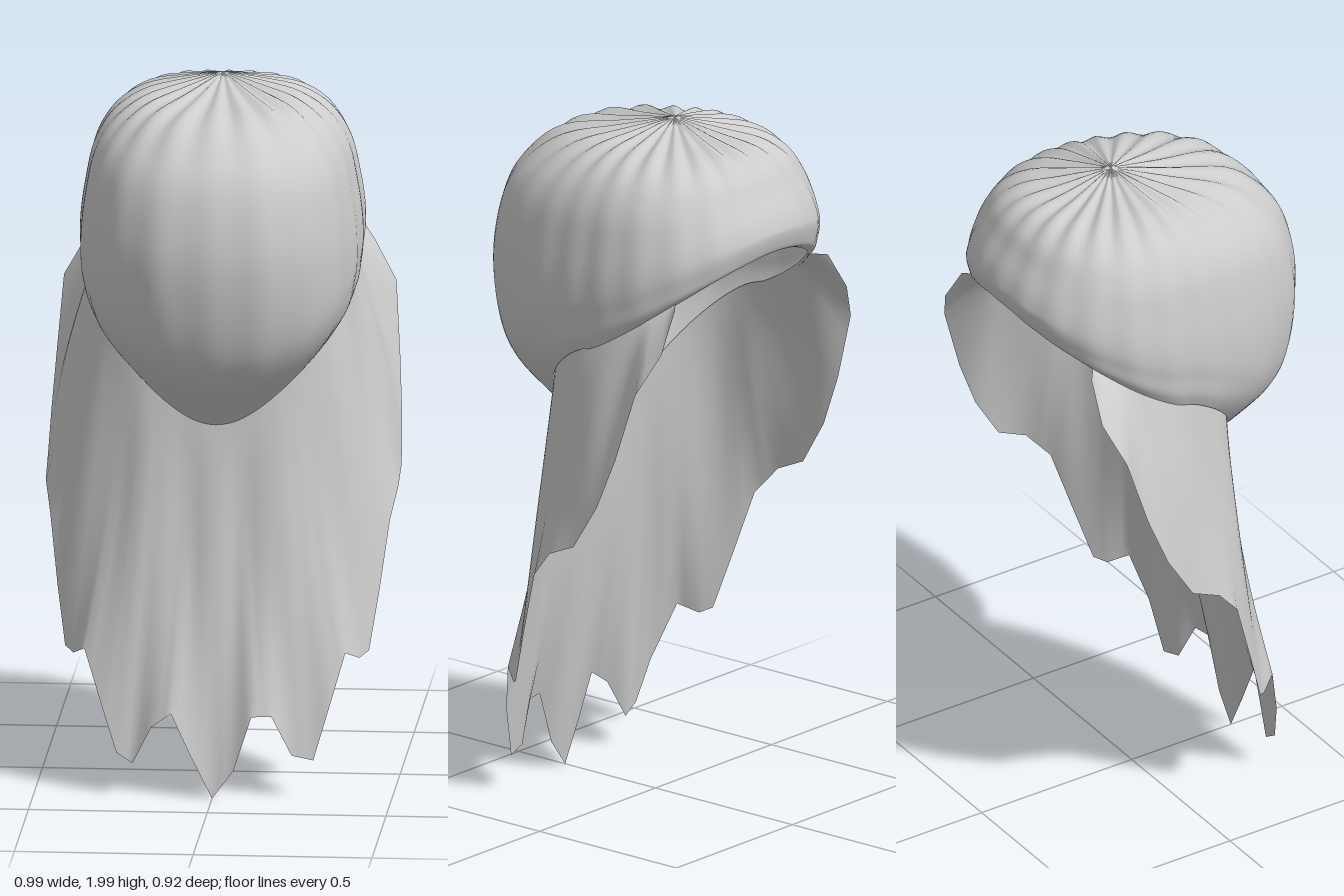
import * as THREE from 'three';

const CZ = -0.07; // z of the crown, centre of all cap meridians
const curve = (pts) => new THREE.SplineCurve(pts.map(([r, y]) => new THREE.Vector2(r, y)));

// Cap meridians as (radius, height) from crown to rim
const frontLine = curve([[0, 2], [0.17, 1.965], [0.34, 1.93], [0.44, 1.85], [0.5, 1.75], [0.53, 1.6],
  [0.52, 1.45], [0.48, 1.3], [0.42, 1.2], [0.33, 1.11], [0.27, 1.05]]);
const sideLine = curve([[0, 2], [0.12, 1.98], [0.22, 1.955], [0.3, 1.9], [0.355, 1.81], [0.38, 1.7],
  [0.392, 1.62], [0.395, 1.55], [0.39, 1.5], [0.385, 1.45], [0.37, 1.41]]);
const backLine = curve([[0, 2], [0.13, 1.97], [0.24, 1.945], [0.3, 1.9], [0.335, 1.84], [0.365, 1.79],
  [0.38, 1.75], [0.382, 1.73], [0.375, 1.7], [0.365, 1.68], [0.345, 1.675]]);

// Point on the cap at angle a (0 = front) and fraction t from crown to rim
function capPoint(a, t) {
  const c = Math.cos(a), s = Math.abs(Math.sin(a)), k = Math.abs(c);
  const main = (c >= 0 ? frontLine : backLine).getPoint(t), side = sideLine.getPoint(t);
  const w = Math.pow(k, c >= 0 ? 1.5 : 1.2), n = c >= 0 ? 2.5 : 2.3;
  let r = 0;
  if (t > 0) r = Math.pow(Math.pow(s / side.x, n) + Math.pow(k / main.x, n), -1 / n);
  let y = side.y + (main.y - side.y) * w;
  // gathered pleats, strongest near the crown
  const pleat = Math.cos(22 * a);
  r *= 1 + 0.006 * pleat * Math.sin(Math.PI * t);
  y += 0.007 * (pleat - 1) * Math.sin(Math.PI * Math.min(1, t / 0.35));
  return new THREE.Vector3(r * Math.sin(a), y, CZ + r * c);
}

// Smooth surface from a grid of points: rows x columns
function gridSurface(rows, closed) {
  const cols = rows[0].length, pos = [], index = [];
  rows.forEach((row) => row.forEach((p) => pos.push(p.x, p.y, p.z)));
  for (let i = 0; i < rows.length - 1; i++) {
    for (let j = 0; j < (closed ? cols : cols - 1); j++) {
      const k = (j + 1) % cols;
      const a = i * cols + j, b = i * cols + k, c = a + cols, d = b + cols;
      index.push(a, c, b, b, c, d);
    }
  }
  const geo = new THREE.BufferGeometry();
  geo.setAttribute('position', new THREE.Float32BufferAttribute(pos, 3));
  geo.setIndex(index);
  geo.computeVertexNormals();
  return geo;
}

export function createModel() {
  const group = new THREE.Group();
  const cloth = new THREE.MeshStandardMaterial({ color: 0xcccccc, side: THREE.DoubleSide });
  cloth.name = 'light grey cloth';

  // Rounded cap, open along a slanted rim
  const capRows = [];
  for (let i = 0; i <= 40; i++) {
    const row = [];
    for (let j = 0; j < 132; j++) row.push(capPoint((j / 132) * Math.PI * 2, i / 40));
    capRows.push(row);
  }
  const cap = new THREE.Mesh(gridSurface(capRows, true), cloth);
  cap.name = 'cap';
  group.add(cap);

  // Ragged hem: shared side run, then each half of the front
  const sideHem = [[0.33, 1.57, -0.35], [0.4, 1.46, -0.36], [0.465, 1.35, -0.32], [0.48, 1.15, -0.26],
    [0.49, 1.0, -0.2], [0.495, 0.87, -0.12], [0.493, 0.83, -0.03], [0.475, 0.75, 0.04],
    [0.45, 0.56, 0.1], [0.425, 0.4, 0.15], [0.4, 0.385, 0.18], [0.365, 0.41, 0.23]];
  const frontHem = [[-0.31, 0.25, 0.28], [-0.27, 0.13, 0.3], [-0.225, 0.1, 0.3], [-0.17, 0.21, 0.32],
    [-0.115, 0.25, 0.33], [-0.06, 0.13, 0.33], [0, 0.01, 0.33], [0.06, 0.09, 0.33], [0.11, 0.245, 0.33],
    [0.165, 0.245, 0.32], [0.22, 0.13, 0.3], [0.28, 0.115, 0.29], [0.325, 0.27, 0.27]];
  const corners = [...sideHem.map(([x, y, z]) => [-x, y, z]), ...frontHem, ...sideHem.slice().reverse()]
    .map((p) => new THREE.Vector3(...p));
  const hem = [];
  corners.forEach((p, i) => {
    hem.push(p);
    if (i < corners.length - 1) for (const f of [1 / 3, 2 / 3]) hem.push(p.clone().lerp(corners[i + 1], f));
  });

  // Veil hanging from just inside the rim down to the hem, with soft folds
  const veilRows = [];
  for (let i = 0; i <= 20; i++) {
    const t = i / 20;
    veilRows.push(hem.map((end) => {
      const a = Math.atan2(end.x, end.z - CZ);
      const top = capPoint(a, 1);
      top.x *= 0.985;
      top.y += 0.01;
      const length = Math.min(1, top.distanceTo(end) / 0.6);
      const p = top.lerp(end, t);
      const swell = Math.sin(Math.PI * t) * length;
      const push = swell * (0.012 * Math.cos(11 * a) - 0.02 * Math.cos(a));
      p.x += push * Math.sin(a);
      p.z += push * Math.cos(a);
      return p;
    }));
  }
  const veil = new THREE.Mesh(gridSurface(veilRows, false), cloth);
  veil.name = 'veil';
  group.add(veil);

  return group;
}
